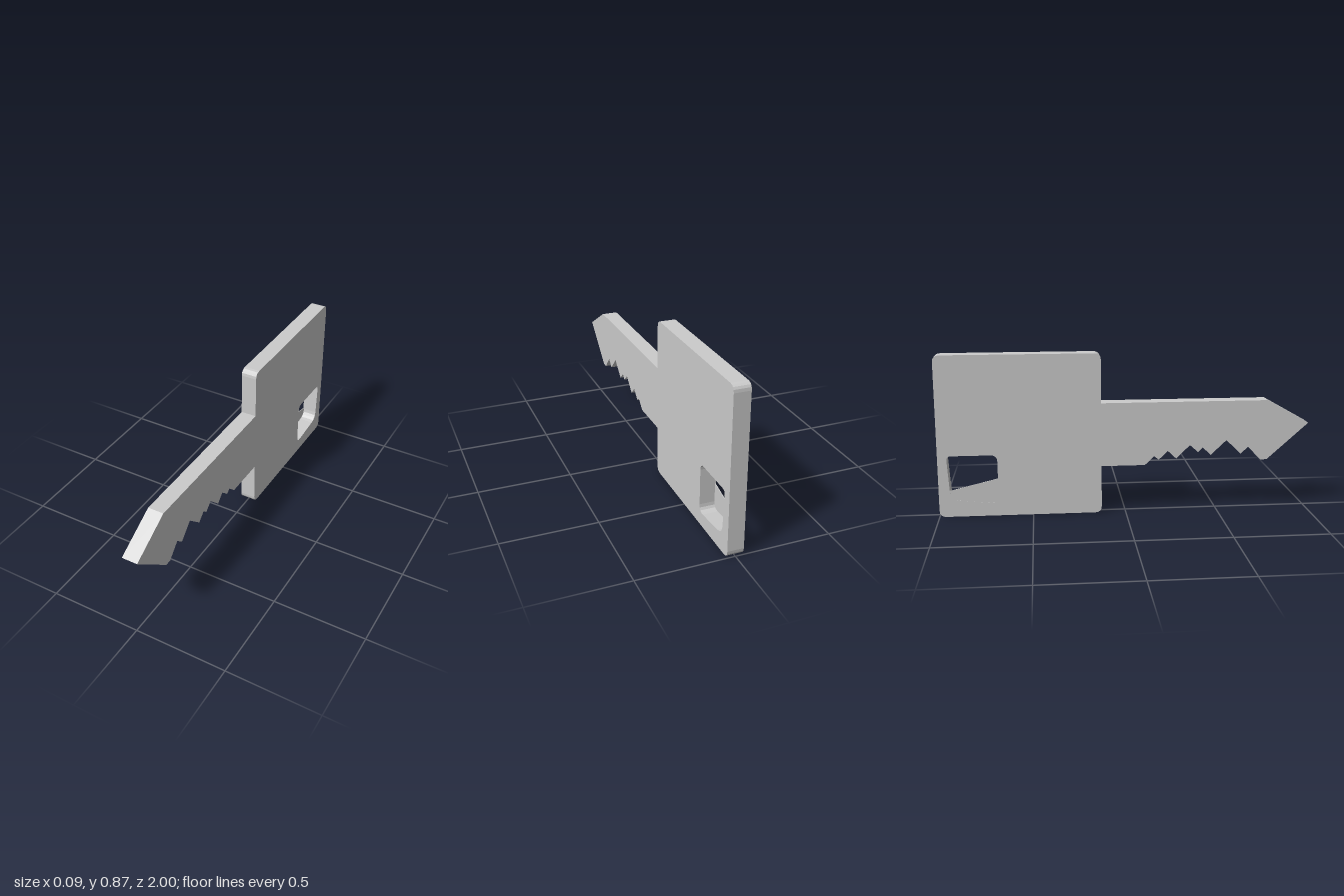
import * as THREE from 'three';

const THICK = 0.085;

// Trace a closed outline of [z, y, cornerRadius] points, rounding the corners
function outline(path, pts) {
  const n = pts.length;
  pts.forEach(([z, y, r = 0], i) => {
    const p = new THREE.Vector2(z, y);
    const towards = (q) => new THREE.Vector2(q[0], q[1]).sub(p).setLength(r).add(p);
    const a = towards(pts[(i + n - 1) % n]);
    const b = towards(pts[(i + 1) % n]);
    if (i === 0) path.moveTo(a.x, a.y);
    else path.lineTo(a.x, a.y);
    if (r > 0) path.quadraticCurveTo(p.x, p.y, b.x, b.y);
  });
  path.closePath();
  return path;
}

// Flat slab whose profile lies in the z-y plane, with its middle at the given x
function slab(name, shape, depth, x, material) {
  const geo = new THREE.ExtrudeGeometry(shape, { depth, bevelEnabled: false, curveSegments: 4 });
  geo.translate(0, 0, -depth / 2);
  geo.rotateY(-Math.PI / 2);
  geo.translate(x, 0, 0);
  const mesh = new THREE.Mesh(geo, material);
  mesh.name = name;
  return mesh;
}

export function createModel() {
  const key = new THREE.Group();
  key.name = 'key';
  const mat = new THREE.MeshStandardMaterial({ color: 0xcccccc, flatShading: true });

  // Square head with rounded corners and a ring hole in the lower rear corner
  const head = outline(new THREE.Shape(), [
    [-1, 0, 0.035], [-0.13, 0, 0.035], [-0.13, 0.872, 0.035], [-1, 0.872, 0.035],
  ]);
  head.holes.push(outline(new THREE.Path(), [
    [-0.685, 0.335, 0.035], [-0.953, 0.335, 0.025], [-0.938, 0.094, 0.045], [-0.685, 0.067, 0.04],
  ]));
  key.add(slab('head', head, THICK, 0, mat));

  // Thin web closing the bottom of the hole on one face
  const web = outline(new THREE.Shape(), [
    [-0.68, 0.207], [-0.68, 0.06], [-0.945, 0.09], [-0.945, 0.143],
  ]);
  key.add(slab('holeWeb', web, 0.004, -THICK / 2 + 0.003, mat));

  // Blade with pointed tip and cut teeth along the lower edge
  const blade = outline(new THREE.Shape(), [
    [-0.13, 0.605], [0.77, 0.605], [1, 0.475], [0.775, 0.275], [0.74, 0.275],
    [0.67, 0.348], [0.63, 0.31], [0.55, 0.388], [0.465, 0.308], [0.42, 0.35],
    [0.395, 0.325], [0.35, 0.365], [0.275, 0.292], [0.23, 0.335], [0.18, 0.288],
    [0.155, 0.308], [0.105, 0.26], [-0.13, 0.26],
  ]);
  key.add(slab('blade', blade, THICK, 0, mat));

  return key;
}
